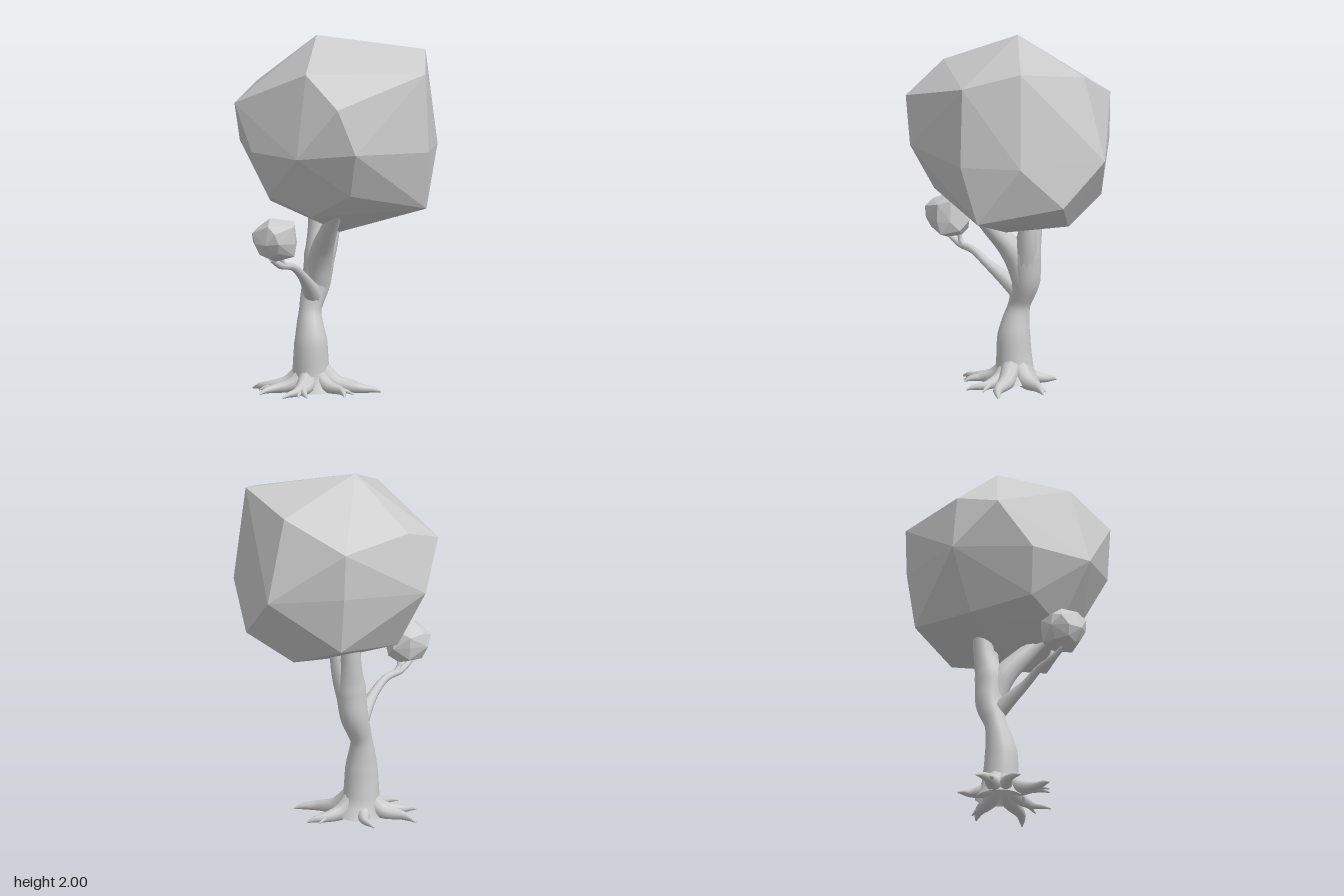
import * as THREE from 'three';
import { ConvexGeometry } from 'three/addons/geometries/ConvexGeometry.js';

const bark = new THREE.MeshStandardMaterial({ color: 0xcccccc, side: THREE.DoubleSide });
const leaf = new THREE.MeshStandardMaterial({ color: 0xcccccc, flatShading: true });

// Tapered limb through points [x, y, z, radius]
function limb(name, pts, segments = 20, sides = 12) {
  const curve = new THREE.CatmullRomCurve3(pts.map(([x, y, z]) => new THREE.Vector3(x, y, z)));
  const geo = new THREE.TubeGeometry(curve, segments, 1, sides, false);
  const pos = geo.attributes.position;
  const v = new THREE.Vector3();
  for (let i = 0; i <= segments; i++) {
    const u = i / segments;
    const c = curve.getPointAt(u);
    const t = curve.getUtoTmapping(u) * (pts.length - 1);
    const k = Math.min(Math.floor(t), pts.length - 2);
    const r = THREE.MathUtils.lerp(pts[k][3], pts[k + 1][3], t - k);
    for (let j = 0; j <= sides; j++) {
      const n = i * (sides + 1) + j;
      v.fromBufferAttribute(pos, n).sub(c).multiplyScalar(r).add(c);
      pos.setXYZ(n, v.x, Math.max(v.y, 0), v.z);
    }
  }
  geo.computeVertexNormals();
  // Match normals across the seam
  const nor = geo.attributes.normal;
  for (let i = 0; i <= segments; i++) {
    const a = i * (sides + 1), b = a + sides;
    v.fromBufferAttribute(nor, a);
    v.add(new THREE.Vector3().fromBufferAttribute(nor, b)).normalize();
    nor.setXYZ(a, v.x, v.y, v.z);
    nor.setXYZ(b, v.x, v.y, v.z);
  }
  const mesh = new THREE.Mesh(geo, bark);
  mesh.name = name;
  return mesh;
}

// Faceted crown: corners in three levels, plus top and bottom points
const crownCorners = [
  [-0.11, 2.0, 0.03], [0.03, 0.9, 0.03],
  // upper level
  [0.04, 1.84, -0.47], [0.42, 1.91, -0.27], [0.55, 1.82, 0.03], [0.24, 1.67, 0.55],
  [0, 1.84, 0.44], [-0.5, 1.63, 0.28], [-0.48, 1.72, 0], [-0.34, 1.68, -0.43],
  // middle level
  [0.06, 1.38, -0.61], [0.48, 1.38, -0.3], [0.57, 1.38, 0.03], [0.32, 1.41, 0.48],
  [0, 1.38, 0.57], [-0.34, 1.38, 0.41], [-0.575, 1.38, 0.03], [-0.33, 1.42, -0.43],
  // lower level
  [0.04, 0.98, -0.37], [0.29, 1.14, -0.47], [0.52, 1.05, -0.05], [0.24, 1.16, 0.37],
  [0, 1.03, 0.37], [-0.26, 1.13, 0.35], [-0.39, 1.05, 0.03], [-0.29, 1.1, -0.4],
];

function crown(name, scale, center) {
  const pts = crownCorners.map(([x, y, z]) => new THREE.Vector3(x, y - 1.45, z + 0.02));
  const mesh = new THREE.Mesh(new ConvexGeometry(pts), leaf);
  mesh.name = name;
  mesh.scale.setScalar(scale);
  mesh.position.set(...center);
  return mesh;
}

export function createModel() {
  const tree = new THREE.Group();
  tree.name = 'tree';

  tree.add(crown('crown', 1, [0, 1.45, -0.02]));
  tree.add(crown('smallCrown', 0.222, [-0.165, 0.91, 0.49]));

  // Trunk and its forks
  tree.add(limb('trunk', [
    [-0.12, 0, 0.05, 0.14], [-0.13, 0.09, 0.06, 0.105], [-0.13, 0.28, 0.065, 0.092],
    [-0.145, 0.45, 0.04, 0.06], [-0.13, 0.6, -0.01, 0.08], [-0.115, 0.76, -0.02, 0.085],
    [-0.13, 0.9, -0.045, 0.06], [-0.14, 1.1, -0.06, 0.05]], 36, 16));
  tree.add(limb('frontFork', [
    [-0.12, 0.58, -0.01, 0.065], [-0.08, 0.76, 0.04, 0.07],
    [0.01, 0.92, 0.14, 0.05], [0.1, 1.06, 0.23, 0.035]]));
  tree.add(limb('backFork', [
    [-0.11, 0.68, -0.02, 0.07], [-0.07, 0.85, -0.05, 0.055], [-0.04, 1.08, -0.06, 0.04]]));

  // Side branch carrying the small crown
  tree.add(limb('sideBranch', [
    [-0.13, 0.52, 0.02, 0.055], [-0.12, 0.6, 0.12, 0.04], [-0.115, 0.67, 0.22, 0.026],
    [-0.13, 0.735, 0.32, 0.021], [-0.16, 0.755, 0.42, 0.02], [-0.18, 0.8, 0.51, 0.013]], 28, 10));
  tree.add(limb('twig', [
    [-0.15, 0.75, 0.39, 0.018], [-0.155, 0.78, 0.415, 0.014], [-0.15, 0.83, 0.42, 0.01]], 8, 8));

  // Roots: tip position, start radius and sideways bend
  const roots = [
    [0.25, -0.04, 0.06, 0.03], [0.14, 0.22, 0.05, -0.04], [-0.04, 0.33, 0.05, 0.03],
    [-0.16, 0.4, 0.05, -0.03], [-0.33, 0.32, 0.05, 0.03], [-0.46, 0.11, 0.06, -0.03],
    [-0.32, -0.1, 0.05, 0.03], [0.05, -0.215, 0.06, -0.02],
  ];
  roots.forEach(([x, z, r, bend], i) => {
    const cx = -0.125, cz = 0.06;
    const dx = x - cx, dz = z - cz, len = Math.hypot(dx, dz);
    const at = (f, y, rad, side) =>
      [cx + dx * f - dz / len * side, y, cz + dz * f + dx / len * side, rad];
    tree.add(limb('root' + (i + 1), [
      at(0.08, 0.13, r, 0), at(0.36, 0.045, r * 0.8, bend * 0.4),
      at(0.68, 0.025, r * 0.48, bend), at(0.88, 0.018, r * 0.3, bend * 0.5),
      at(1, 0.004, 0.004, 0)], 16, 10));
    // Small side rootlet on every other root
    if (i % 2) {
      tree.add(limb('rootlet' + (i + 1), [
        at(0.55, 0.025, 0.018, bend * 0.8), at(0.72, 0.02, 0.013, bend * 1.8),
        at(0.85, 0.004, 0.003, bend * 2.4)], 8, 8));
    }
  });
  return tree;
}
